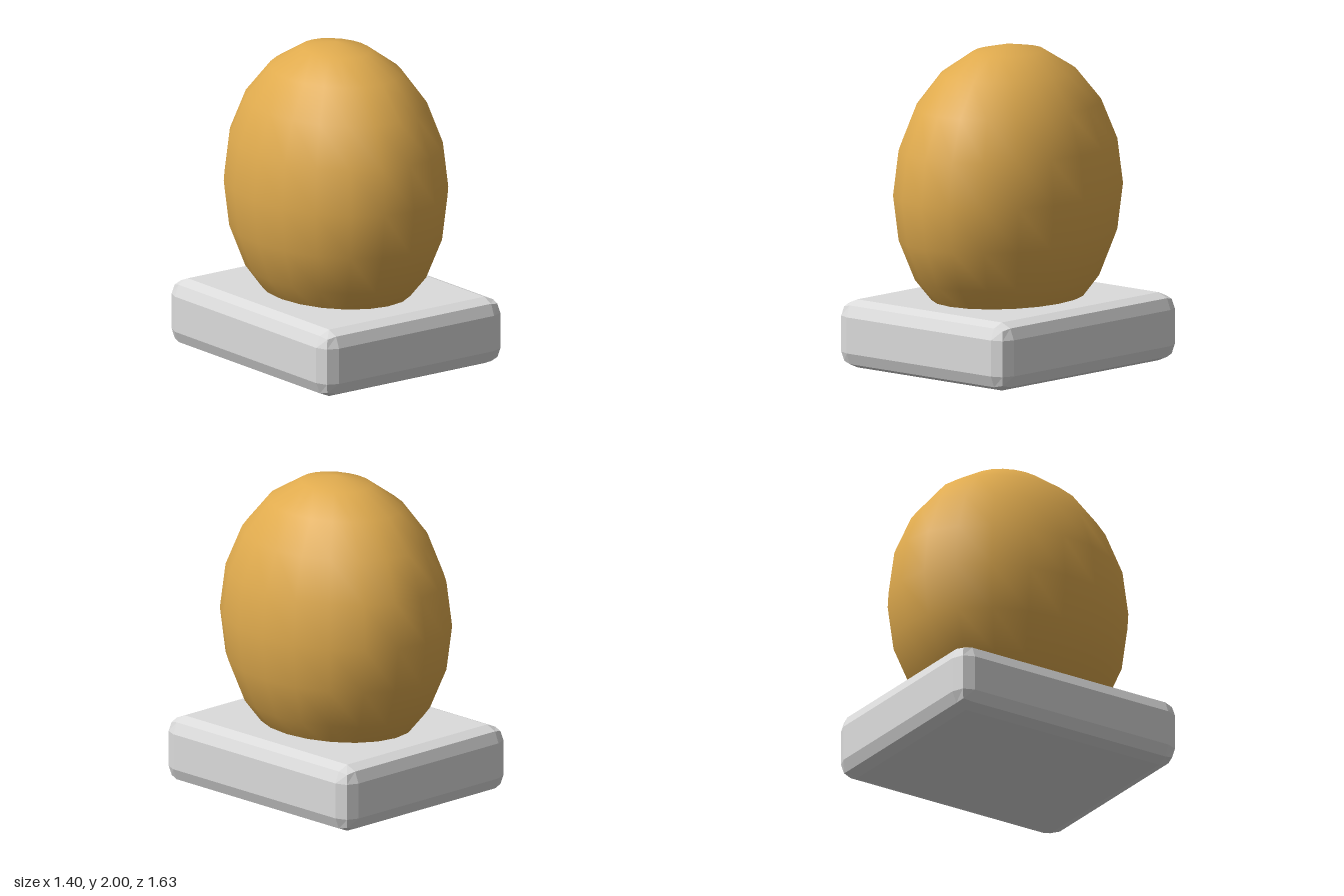
import * as THREE from 'three';
import { RoundedBoxGeometry } from 'three/addons/geometries/RoundedBoxGeometry.js';

export function createModel() {
  const model = new THREE.Group();
  model.name = 'eggOnPlinth';

  const stone = new THREE.MeshStandardMaterial({ color: 0xdcdcdc, flatShading: true });
  stone.name = 'light grey';
  const gold = new THREE.MeshStandardMaterial({ color: 0xe0ab4e });
  gold.name = 'golden ochre';

  // Rectangular plinth with a two-facet bevel on every edge
  const plinth = new THREE.Mesh(new RoundedBoxGeometry(1.4, 0.425, 1.63, 1, 0.1), stone);
  plinth.name = 'plinth';
  plinth.position.y = 0.2125;
  model.add(plinth);

  // Smooth ellipsoid, its lower end sunk into the plinth
  const eggShape = new THREE.SphereGeometry(1, 20, 10);
  eggShape.scale(0.634, 0.91, 0.792);
  const egg = new THREE.Mesh(eggShape, gold);
  egg.name = 'egg';
  egg.position.y = 1.09;
  model.add(egg);

  return model;
}
